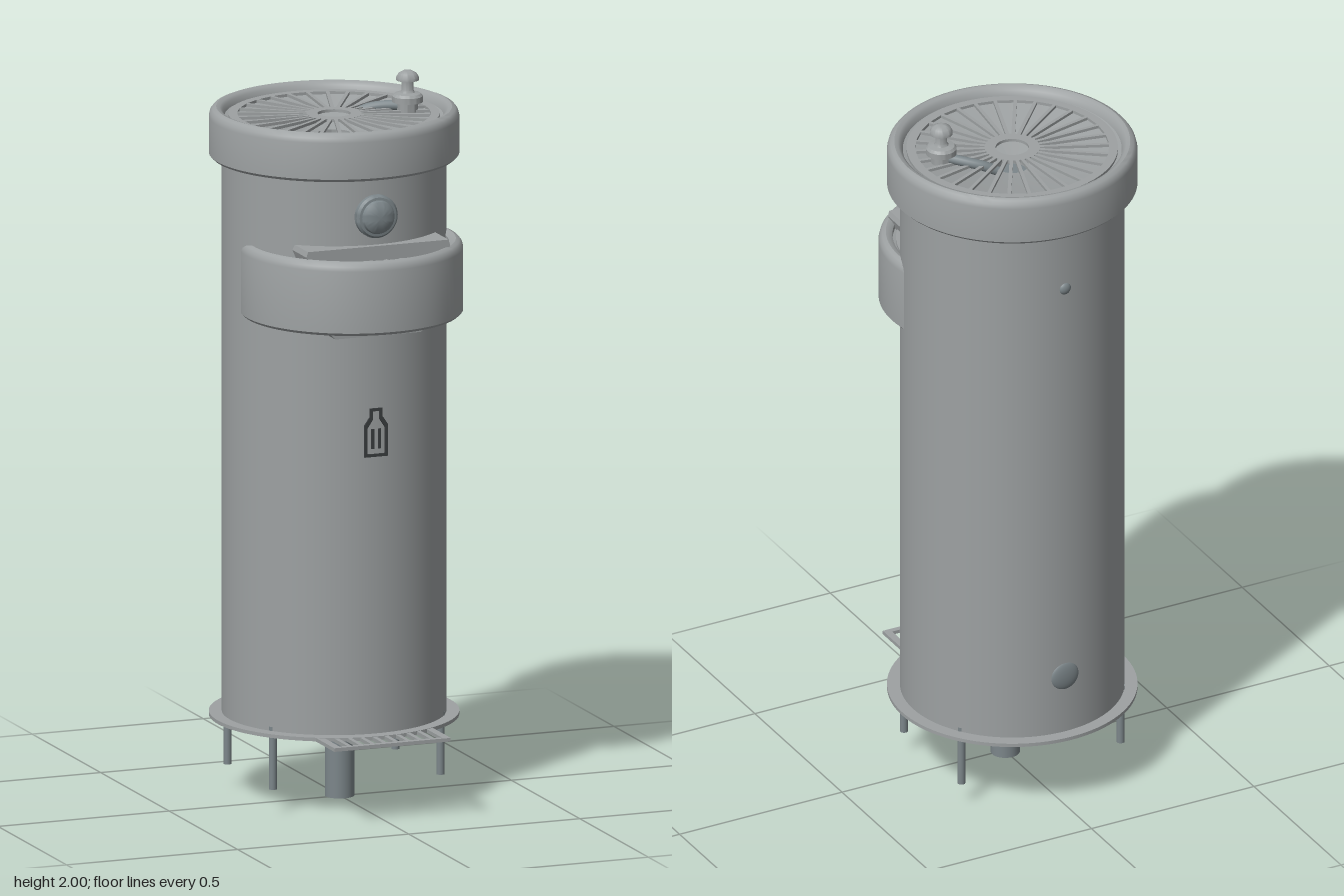
import * as THREE from 'three';
import { toCreasedNormals } from 'three/addons/utils/BufferGeometryUtils.js';

const AXIS_Z = -0.045;  // centre line of the column
const BASIN_Z = 0.08;   // centre line of the front basin

export function createModel() {
  const model = new THREE.Group();
  model.name = 'drinkingFountain';

  const makeMaterial = (name, color, side = THREE.FrontSide) => {
    const m = new THREE.MeshStandardMaterial({ color, side });
    m.name = name;
    return m;
  };
  const steel = makeMaterial('steel', 0x9da1a2);
  const darkSteel = makeMaterial('darkSteel', 0x7c868a);
  const ink = makeMaterial('ink', 0x3a3d3f);

  const add = (name, geometry, material, x = 0, y = 0, z = 0, parent = model) => {
    const mesh = new THREE.Mesh(geometry, material);
    mesh.name = name;
    mesh.position.set(x, y, z);
    parent.add(mesh);
    return mesh;
  };
  const lathe = (points, segments = 96) => toCreasedNormals(
    new THREE.LatheGeometry(points.map(([r, y]) => new THREE.Vector2(r, y)), segments), 0.6);
  const rod = (r, h, segments = 32) => new THREE.CylinderGeometry(r, r, h, segments);
  const extrude = (shape, depth) => new THREE.ExtrudeGeometry(shape,
    { depth, bevelEnabled: false, curveSegments: 32 });

  // Round grating with radial slots and a drain hole, lying flat
  const gratingGeometry = (scale) => {
    const shape = new THREE.Shape().absarc(0, 0, 0.287 * scale, 0, Math.PI * 2, false);
    shape.holes.push(new THREE.Path().absarc(0, 0, 0.045 * scale, 0, Math.PI * 2, true));
    const count = 30, step = Math.PI * 2 / count, bar = 0.01;
    for (let i = 0; i < count; i++) {
      const mid = (i + 0.5) * step;
      const corner = (r, side) => {
        const a = mid + side * (step / 2 - bar / (2 * r));
        return new THREE.Vector2(r * scale * Math.cos(a), r * scale * Math.sin(a));
      };
      shape.holes.push(new THREE.Path([
        corner(0.075, -1), corner(0.075, 1), corner(0.263, 1), corner(0.263, -1)]));
    }
    return extrude(shape, 0.008).rotateX(-Math.PI / 2);
  };

  // Bowl: outer wall, rounded lip, recessed seat and funnel to the drain
  const bowlGeometry = (radius, height) => {
    const s = radius / 0.34, top = height;
    return lathe([
      [0, 0], [radius - 0.008, 0], [radius, 0.008], [radius, top - 0.025],
      [radius - 0.003, top - 0.013], [radius - 0.01, top - 0.004], [radius - 0.02, top],
      [radius - 0.03, top - 0.003], [radius - 0.038, top - 0.01], [0.297 * s, top - 0.025],
      [0.27 * s, top - 0.032], [0.045 * s, top - 0.075], [0.045 * s, top - 0.1], [0, top - 0.1],
    ]);
  };
  const addBowl = (name, radius, y, height, z) => {
    const group = new THREE.Group();
    group.name = name;
    group.position.set(0, y, z);
    model.add(group);
    const s = radius / 0.34;
    add(name + 'Bowl', bowlGeometry(radius, height), steel, 0, 0, 0, group);
    add(name + 'Grating', gratingGeometry(s), steel, 0, height - 0.027, 0, group);
    const drain = new THREE.CircleGeometry(0.044 * s, 32).rotateX(-Math.PI / 2);
    add(name + 'Drain', drain, darkSteel, 0, height - 0.095, 0, group);
  };

  // Column, top basin and front basin
  add('column', rod(0.305, 1.56, 96), steel, 0, 1.0, AXIS_Z);
  addBowl('topBasin', 0.34, 1.775, 0.135, AXIS_Z);
  addBowl('frontBasin', 0.304, 1.365, 0.205, BASIN_Z);

  // Tapered mounting plate behind the front basin
  const plate = new THREE.Shape([[-0.125, 1.34], [0.125, 1.34], [0.135, 1.35], [0.21, 1.575],
    [0.205, 1.59], [-0.205, 1.59], [-0.21, 1.575], [-0.135, 1.35]]
    .map(([x, y]) => new THREE.Vector2(x, y)));
  add('basinBackPlate', extrude(plate, 0.16), steel, 0, 0, 0.118);

  // Push button
  const button = lathe([[0, 0], [0.06, 0], [0.06, 0.02], [0.054, 0.027], [0.047, 0.028],
    [0.044, 0.036], [0.032, 0.044], [0.016, 0.048], [0, 0.049]], 40).rotateX(Math.PI / 2);
  add('pushButton', button, darkSteel, 0, 1.67, 0.25);

  // Bottle pictogram, a thin outline with two bars
  const outline = (k) => [[-0.034, 0], [0.034, 0], [0.034, 0.088], [0.018, 0.112], [0.018, 0.135],
    [-0.018, 0.135], [-0.018, 0.112], [-0.034, 0.088]]
    .map(([x, y]) => new THREE.Vector2(x - Math.sign(x) * k, y + (y < 0.06 ? k : -k)));
  const bottle = new THREE.Shape(outline(0));
  bottle.holes.push(new THREE.Path(outline(0.008).reverse()));
  add('bottleSymbol', extrude(bottle, 0.007), ink, 0, 1.0, 0.257);
  for (const side of [-1, 1]) {
    add('bottleSymbolBar', new THREE.BoxGeometry(0.008, 0.055, 0.007), ink, side * 0.01, 1.05, 0.26);
  }

  // Drinking spout with its supply tube
  add('bubbler', lathe([[0, 1.885], [0.028, 1.885], [0.028, 1.91], [0.042, 1.912], [0.042, 1.928],
    [0.036, 1.935], [0.02, 1.938], [0.016, 1.945], [0.016, 1.97], [0.031, 1.972], [0.031, 1.98],
    [0.025, 1.991], [0.013, 1.998], [0, 2.0]], 40), steel, 0.203, 0, -0.016);
  const hose = new THREE.CatmullRomCurve3([[0.2, 1.9, -0.016], [0.175, 1.898, -0.045],
    [0.145, 1.893, -0.072], [0.115, 1.885, -0.09], [0.08, 1.868, -0.102]]
    .map((p) => new THREE.Vector3(...p)));
  add('supplyTube', new THREE.TubeGeometry(hose, 32, 0.014, 16), darkSteel);

  // Rear fittings
  const dome = (r, depth) => new THREE.SphereGeometry(r, 32, 20).scale(1, 1, depth / r);
  add('rearScrew', dome(0.018, 0.012), darkSteel, 0, 1.6, -0.346);
  add('rearCover', dome(0.042, 0.012), darkSteel, 0, 0.4, -0.346);

  // Base flange, drain pipe and anchor rods
  add('baseFlange', rod(0.34, 0.01, 96), steel, 0, 0.224, AXIS_Z);
  add('drainPipe', rod(0.04, 0.22), darkSteel, 0, 0.11, -0.005);
  for (const x of [-0.245, 0.245]) {
    for (const z of [0.165, -0.165]) {
      add('anchorRod', rod(0.011, 0.175, 20), darkSteel, x, 0.1525, AXIS_Z + z);
    }
  }

  // Floor grate in front of the base
  const grate = new THREE.Shape([[-0.17, 0], [0.17, 0], [0.17, 0.15], [-0.17, 0.15]]
    .map(([x, y]) => new THREE.Vector2(x, y)));
  const slots = 9, pitch = 0.31 / slots;
  for (let i = 0; i < slots; i++) {
    const x0 = -0.155 + i * pitch + 0.006, x1 = x0 + pitch - 0.012;
    grate.holes.push(new THREE.Path([[x0, 0.016], [x0, 0.134], [x1, 0.134], [x1, 0.016]]
      .map(([x, y]) => new THREE.Vector2(x, y))));
  }
  add('floorGrate', extrude(grate, 0.01).rotateX(-Math.PI / 2), steel, 0, 0.218, 0.382);

  return model;
}
